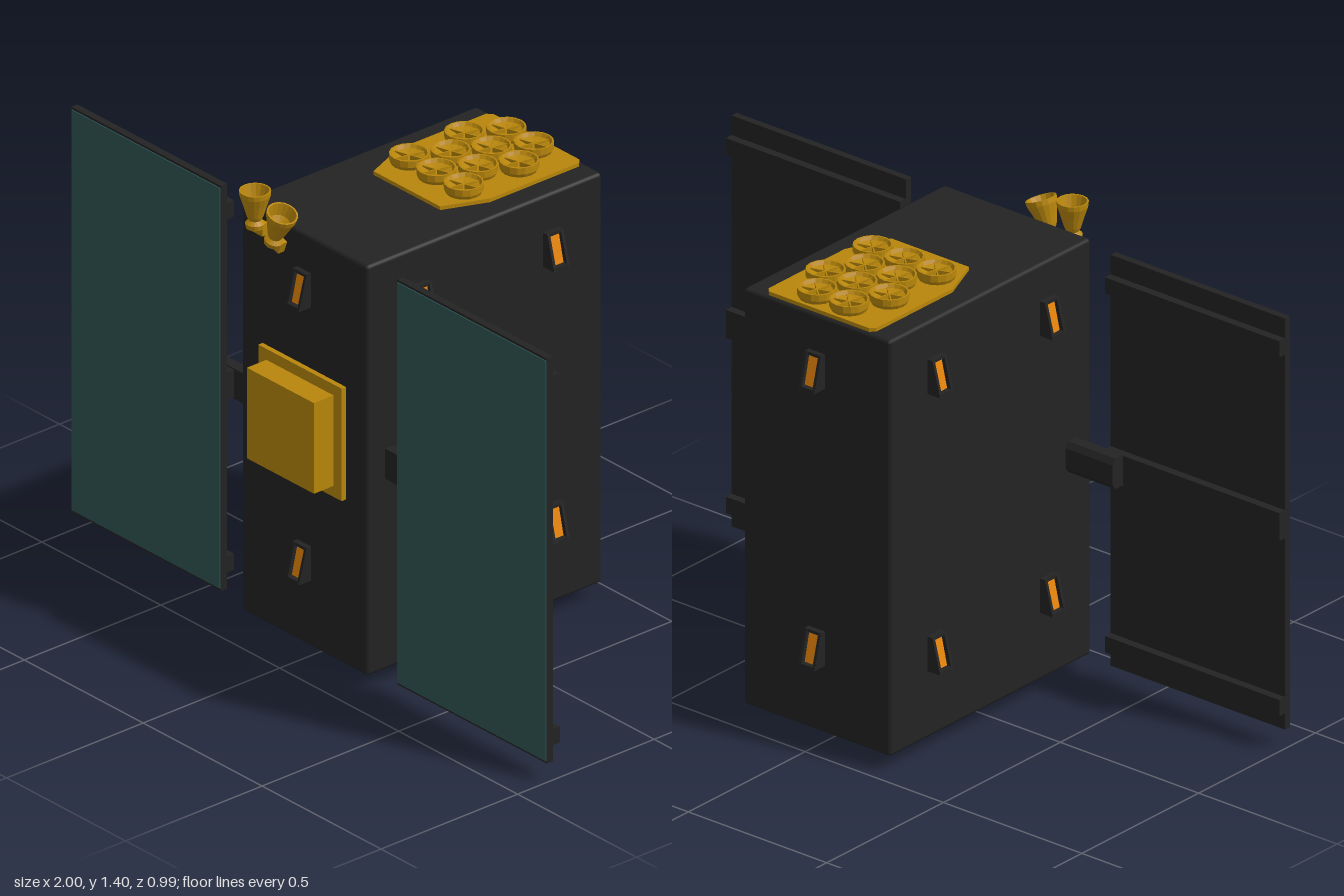
import * as THREE from 'three';
import { RoundedBoxGeometry } from 'three/addons/geometries/RoundedBoxGeometry.js';

const mat = (name, color, extra = {}) => {
  const m = new THREE.MeshStandardMaterial({ color, ...extra });
  m.name = name;
  return m;
};

export function createModel() {
  const dark = mat('charcoal', 0x232323);
  const gold = mat('gold', 0xb8860b, { flatShading: true, side: THREE.DoubleSide });
  const teal = mat('solarTeal', 0x2f5553);
  const orange = mat('ventOrange', 0xf28c0a);
  const model = new THREE.Group();
  model.name = 'satellite';

  const add = (parent, name, geo, material, x = 0, y = 0, z = 0) => {
    const m = new THREE.Mesh(geo, material);
    m.name = name;
    m.position.set(x, y, z);
    parent.add(m);
    return m;
  };
  const box = (w, h, d) => new THREE.BoxGeometry(w, h, d);
  const shape = pts => new THREE.Shape(pts.map(p => new THREE.Vector2(...p)));
  const extrude = (pts, depth) =>
    new THREE.ExtrudeGeometry(shape(pts), { depth, bevelEnabled: false });
  // profile points are (outward z, y), width runs along x
  const wedge = (pts, width) =>
    extrude(pts, width).translate(0, 0, -width / 2).rotateY(-Math.PI / 2);

  // Main body
  add(model, 'body', new RoundedBoxGeometry(0.53, 1.275, 0.86, 1, 0.01), dark, 0, 0.686, -0.02);

  // Hooded vents: sloping frame with an orange core
  const cheek = wedge([[-0.01, -0.053], [0.045, -0.053], [0.017, 0.053], [-0.01, 0.053]], 0.009);
  const core = wedge([[-0.01, -0.047], [0.029, -0.047], [0.007, 0.047], [-0.01, 0.047]], 0.042);
  const vent = (x, y, z, rx, ry, rz) => {
    const g = new THREE.Group();
    g.name = 'vent';
    for (const s of [-1, 1]) add(g, 'ventCheek', cheek, dark, s * 0.0245);
    add(g, 'ventSill', box(0.058, 0.009, 0.054), dark, 0, -0.0485, 0.017);
    add(g, 'ventLintel', box(0.058, 0.009, 0.026), dark, 0, 0.0485, 0.004);
    add(g, 'ventCore', core, orange);
    g.position.set(x, y, z);
    g.rotation.set(rx, ry, rz);
    model.add(g);
  };
  for (const y of [0.308, 1.158]) {
    vent(0, y, 0.41, 0, 0, 0);
    vent(0, y, -0.45, 0, Math.PI, 0);
    for (const s of [-1, 1])
      for (const z of [0.22, -0.262]) vent(s * 0.267, y, z, 0, s * Math.PI / 2, 0);
  }
  vent(0, 0.047, -0.022, Math.PI / 2, 0, Math.PI);

  // Solar wings, mirrored
  const armProfile = [[0.3, -0.03], [0.312, -0.047], [0.346, -0.047], [0.346, 0.047], [0.312, 0.047], [0.3, 0.03]];
  for (const s of [-1, 1]) {
    const wing = new THREE.Group();
    wing.name = s > 0 ? 'leftWing' : 'rightWing';
    model.add(wing);
    const x = s * 0.685;
    add(wing, 'panelBack', box(0.63, 1.26, 0.022), dark, x, 0.69, 0.381);
    add(wing, 'solarCells', box(0.624, 1.246, 0.004), teal, x, 0.69, 0.393);
    for (const [y, h] of [[0.135, 0.05], [0.69, 0.086], [1.235, 0.05]])
      add(wing, 'backRail', box(0.63, h, 0.026), dark, x, y, 0.358);
    add(wing, 'arm', wedge(armProfile, 0.185), dark, s * 0.343, 0.69, 0);
  }

  // Front instrument
  add(model, 'instrumentBase', box(0.35, 0.35, 0.018), gold, 0, 0.74, 0.417);
  add(model, 'instrumentBox', box(0.282, 0.282, 0.075), gold, 0, 0.74, 0.46);

  // Tray with ten cups on the roof
  const tray = extrude([[-0.18, 0.44], [0.18, 0.44], [0.195, 0.425], [0.195, 0.1], [0.14, -0.035],
    [-0.14, -0.035], [-0.195, 0.1], [-0.195, 0.425]].reverse(), 0.014).rotateX(-Math.PI / 2);
  add(model, 'tray', tray, gold, 0, 1.321, 0);
  const cup = new THREE.LatheGeometry([[0.05, 0], [0.056, 0.012], [0.056, 0.032], [0.051, 0.032],
    [0.045, 0.022], [0, 0.008]].map(p => new THREE.Vector2(...p)), 16);
  const rib = box(0.1, 0.014, 0.004);
  for (const [z, xs] of [[-0.38, [-0.058, 0.058]], [-0.276, [-0.115, 0, 0.115]],
    [-0.176, [-0.058, 0.058]], [-0.074, [-0.115, 0, 0.115]]]) {
    for (const x of xs) {
      const g = new THREE.Group();
      g.name = 'cup';
      g.position.set(x, 1.334, z);
      model.add(g);
      add(g, 'cupBowl', cup, gold);
      for (let i = 0; i < 3; i++)
        add(g, 'cupRib', rib, gold, 0, 0.018, 0).rotation.y = i * Math.PI / 3 + 0.3;
    }
  }

  // Two horns on the front top edge
  const horn = new THREE.LatheGeometry([[0, 0], [0.026, 0], [0.028, 0.014], [0.018, 0.024], [0.024, 0.036],
    [0.034, 0.07], [0.044, 0.1], [0.045, 0.115], [0.04, 0.115], [0.03, 0.08], [0, 0.05]]
    .map(p => new THREE.Vector2(...p)), 16);
  for (const [x, y, tilt] of [[-0.175, 1.285, 0], [-0.1, 1.265, -0.36]]) {
    const g = new THREE.Group();
    g.name = 'hornAntenna';
    g.position.set(x, y, 0.438);
    g.rotation.z = tilt;
    model.add(g);
    add(g, 'horn', horn, gold);
    add(g, 'hornBracket', box(0.05, 0.036, 0.03), gold, 0, -0.004, -0.02);
  }
  return model;
}
